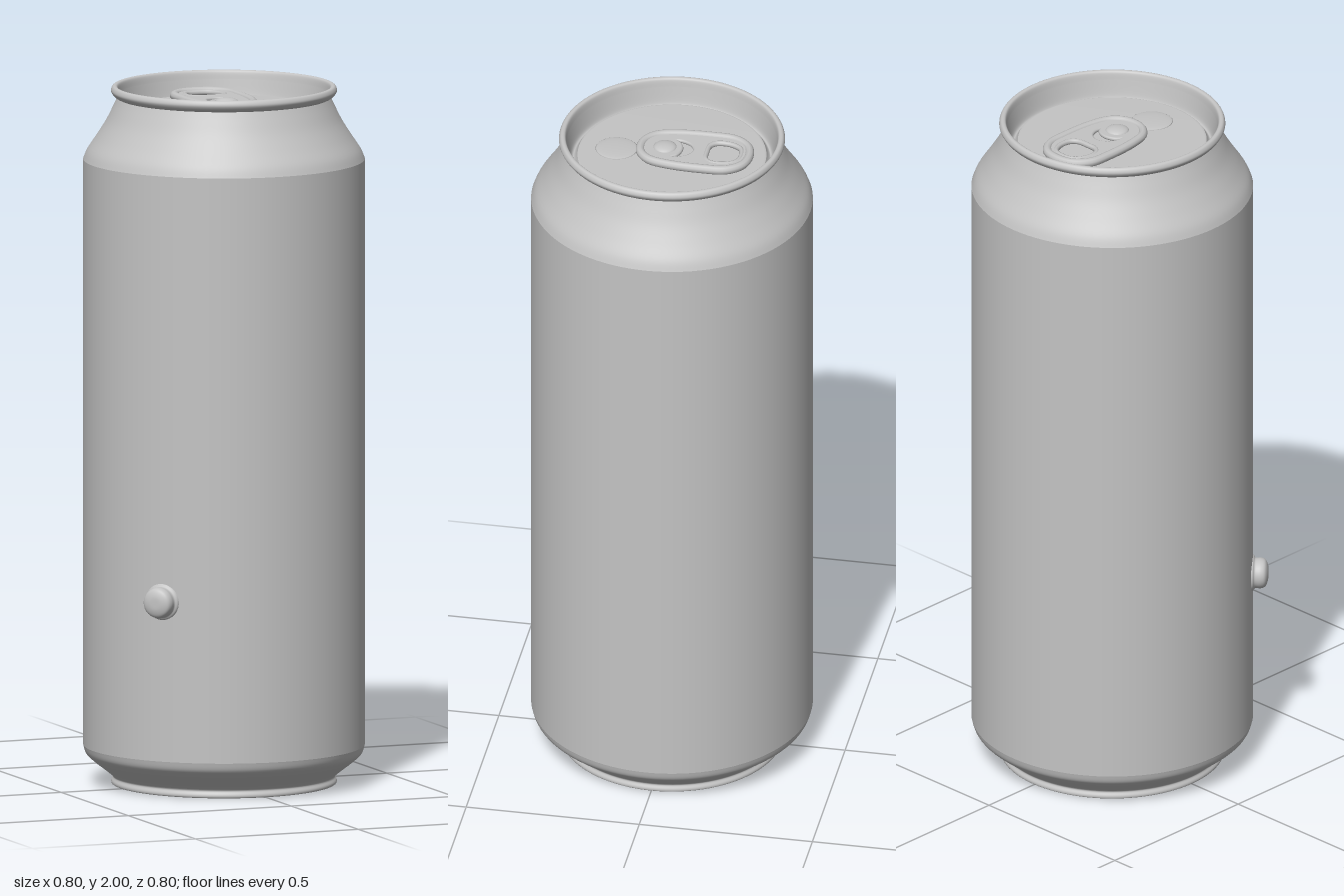
import * as THREE from 'three';

const metal = new THREE.MeshStandardMaterial({ color: 0xc4c4c4 });
metal.name = 'plain metal';

const TAB_Y = 1.952;

function add(parent, name, geometry) {
  const mesh = new THREE.Mesh(geometry, metal);
  mesh.name = name;
  parent.add(mesh);
  return mesh;
}

// Smooth surface of revolution through a few [radius, y] points
function lathe(points, steps = 0, segments = 96) {
  let pts = points.map(([r, y]) => new THREE.Vector2(r, y));
  if (steps) pts = new THREE.SplineCurve(pts).getPoints(steps);
  pts.forEach(p => { p.x = Math.max(0, p.x); });
  return new THREE.LatheGeometry(pts, segments);
}

// Closed smooth outline from [x, z] points
function outline(points) {
  return new THREE.CatmullRomCurve3(
    points.map(([x, z]) => new THREE.Vector3(x, 0, z)), true, 'centripetal');
}

// Mirror the +x half of an outline to close the loop
function mirrored(half) {
  const back = half.filter(p => p[0] > 0).reverse().map(([x, z]) => [-x, z]);
  return half.concat(back);
}

const flat = curve => curve.getPoints(48).slice(0, -1).map(p => new THREE.Vector2(p.x, -p.z));

function createTab() {
  const tab = new THREE.Group();
  tab.name = 'pullTab';
  const edge = outline(mirrored([[0, -0.222], [0.05, -0.21], [0.082, -0.17], [0.088, -0.1],
    [0.082, 0], [0.066, 0.055], [0.035, 0.083], [0, 0.09]]));
  const fingerHole = outline(mirrored([[0, -0.2], [0.035, -0.192], [0.054, -0.16],
    [0.053, -0.12], [0.035, -0.103], [0, -0.1]]));
  const crescent = outline([[0, -0.066], [0.032, -0.052], [0.048, -0.02], [0.045, 0.0],
    [0.028, -0.018], [0, -0.026], [-0.028, -0.018], [-0.045, 0.0], [-0.048, -0.02], [-0.032, -0.052]]);

  // Plate with both openings
  const shape = new THREE.Shape(flat(edge));
  shape.holes.push(new THREE.Path(flat(fingerHole)), new THREE.Path(flat(crescent)));
  const plate = new THREE.ExtrudeGeometry(shape, { depth: 0.012, bevelEnabled: false });
  plate.rotateX(-Math.PI / 2);
  add(tab, 'tabPlate', plate).position.y = -0.006;

  // Rolled edges
  add(tab, 'tabRolledEdge', new THREE.TubeGeometry(edge, 80, 0.013, 10, true));
  add(tab, 'fingerHoleEdge', new THREE.TubeGeometry(fingerHole, 60, 0.008, 8, true));
  add(tab, 'crescentEdge', new THREE.TubeGeometry(crescent, 60, 0.006, 8, true));

  // Rivet mound
  const rivet = add(tab, 'rivet', new THREE.SphereGeometry(0.034, 24, 12));
  rivet.scale.y = 0.35;
  rivet.position.set(0, 0.004, 0.02);
  tab.position.y = TAB_Y;
  return tab;
}

export function createModel() {
  const can = new THREE.Group();
  can.name = 'can';

  // Underside and foot
  add(can, 'baseDome', lathe([[0, 0.09], [0.1, 0.083], [0.2, 0.06], [0.27, 0.03], [0.305, 0.003], [0.312, 0]], 24));
  add(can, 'footRing', lathe([[0.312, 0], [0.319, 0.002], [0.32, 0.01], [0.315, 0.02], [0.318, 0.026]], 12));
  add(can, 'lowerBevel', lathe([[0.318, 0.026], [0.34, 0.044], [0.37, 0.067], [0.392, 0.088], [0.4, 0.112]], 20));

  // Wall and shoulder
  add(can, 'wall', lathe([[0.4, 0.112], [0.4, 1.79]]));
  add(can, 'shoulder', lathe([[0.4, 1.79], [0.388, 1.818], [0.362, 1.857], [0.335, 1.9], [0.315, 1.94], [0.303, 1.966]], 24));

  // Rolled rim, groove and lid panel
  add(can, 'rim', lathe([[0.303, 1.966], [0.313, 1.972], [0.321, 1.985], [0.317, 1.997], [0.309, 2],
    [0.302, 1.995], [0.298, 1.975]], 32));
  add(can, 'lidGroove', lathe([[0.298, 1.975], [0.289, 1.93], [0.282, 1.918], [0.275, 1.922], [0.268, 1.934]], 24));
  add(can, 'lidPanel', lathe([[0.268, 1.934], [0.262, 1.936], [0, 1.936]]));

  // Shallow pressed mound on the mouth panel
  const mound = add(can, 'mouthMound', new THREE.SphereGeometry(0.06, 32, 12));
  mound.scale.y = 0.08;
  mound.position.set(0, 1.936, 0.16);

  can.add(createTab());

  // Small knob on the side
  const knob = add(can, 'sideKnob', lathe([[0.058, -0.02], [0.052, 0.006], [0.044, 0.014], [0.044, 0.03],
    [0.038, 0.043], [0.02, 0.05], [0, 0.051]], 28, 40));
  const out = new THREE.Vector3(-0.75, 0, 0.66).normalize();
  knob.quaternion.setFromUnitVectors(new THREE.Vector3(0, 1, 0), out);
  knob.position.copy(out).multiplyScalar(0.393).setY(0.57);

  return can;
}
